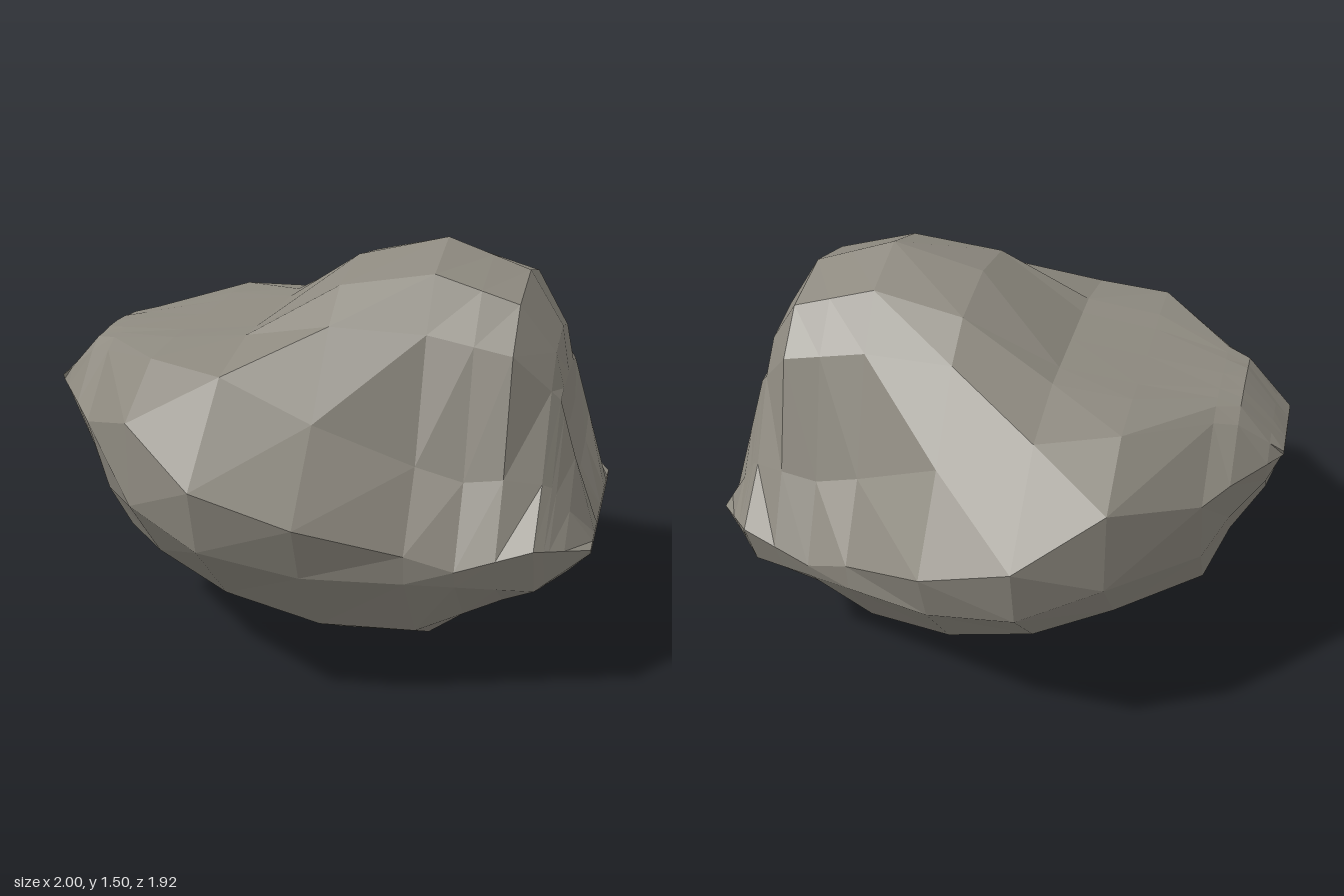
import * as THREE from 'three';

// Guide lines along x: [x, y] on the centre plane, [x, y, z] on the +z side
const CROWN = [[-1, 0.93], [-0.95, 0.99], [-0.84, 1.11], [-0.22, 1.19], [0.1, 1.42], [0.42, 1.5],
  [0.71, 1.4], [0.83, 1.21], [0.86, 1.04], [0.875, 0.87], [0.92, 0.7], [1, 0.55]];
const SHOULDER = [[-1, 0.93, 0.07], [-0.84, 1.1, 0.12], [-0.49, 1.16, 0.32], [-0.22, 1.19, 0.33],
  [0.1, 1.27, 0.43], [0.42, 1.25, 0.38], [0.71, 1.2, 0.39], [0.86, 1.02, 0.25], [1, 0.55, 0.25]];
const RIM = [[-1, 0.93, 0.16], [-0.84, 1.06, 0.24], [-0.76, 1.08, 0.28], [-0.49, 1, 0.79],
  [-0.22, 0.85, 0.96], [0.1, 0.73, 0.9], [0.42, 0.59, 0.7], [0.58, 0.53, 0.65],
  [0.83, 0.61, 0.6], [1, 0.54, 0.38]];
const BILGE = [[-1, 0.91, 0.15], [-0.84, 0.91, 0.39], [-0.65, 0.84, 0.63], [-0.49, 0.71, 0.79],
  [-0.22, 0.62, 0.9], [0.1, 0.53, 0.82], [0.83, 0.43, 0.52], [1, 0.52, 0.36]];
const KEEL = [[-1, 0.88], [-0.95, 0.72], [-0.84, 0.55], [-0.78, 0.35], [0.1, 0.02], [0.42, 0],
  [0.71, 0.23], [0.92, 0.37], [1, 0.52]];

const { lerp, clamp } = THREE.MathUtils;

// Point on a guide line at x
function guide(line, x) {
  const i = Math.max(1, line.findIndex((p) => p[0] >= x));
  const [x0, y0, z0 = 0] = line[i - 1];
  const [x1, y1, z1 = 0] = line[i];
  const t = (x - x0) / (x1 - x0);
  return new THREE.Vector3(x, lerp(y0, y1, t), lerp(z0, z1, t));
}

// Point between a and b, with separate fractions for height and depth
function between(a, b, ty, tz) {
  return new THREE.Vector3(a.x, lerp(a.y, b.y, ty), lerp(a.z, b.z, tz));
}

// Closed ring: crown, down the +z side, keel, back up the -z side
function makeRing(x) {
  const [crown, shoulder, rim, bilge, keel] =
    [CROWN, SHOULDER, RIM, BILGE, KEEL].map((line) => guide(line, x));
  // The flank bulges at the low end and is hollow beside the peak
  const flank = between(shoulder, rim, clamp(0.4 + x, 0.08, 0.62), 0.47);
  const underside = between(keel, bilge, 0.42, 0.68);
  // The belly is flat at the low end and pointed below the peak
  const belly = between(keel, underside, clamp(0.15 + 0.35 * x, 0, 0.4), 0.42);
  const half = [
    crown, between(crown, shoulder, 0.3, 0.65), shoulder, flank, rim,
    bilge, underside, belly, keel,
  ];
  const mirrored = half.slice(1, -1).reverse().map((p) => new THREE.Vector3(p.x, p.y, -p.z));
  return [...half, ...mirrored];
}

// Unshared corners give every facet its own flat normal
function facetedLoft(rings) {
  const points = [];
  const n = rings[0].length;
  for (let i = 0; i < rings.length - 1; i++) {
    for (let k = 0; k < n; k++) {
      const a = rings[i][k], b = rings[i][(k + 1) % n];
      const c = rings[i + 1][k], d = rings[i + 1][(k + 1) % n];
      // Diagonals mirror across the centre plane
      if (k < n / 2) points.push(a, b, c, b, d, c);
      else points.push(a, b, d, a, d, c);
    }
  }
  // End caps
  const first = rings[0], last = rings[rings.length - 1];
  for (let k = 1; k < n - 1; k++) {
    points.push(first[0], first[k + 1], first[k]);
    points.push(last[0], last[k], last[k + 1]);
  }
  const geometry = new THREE.BufferGeometry().setFromPoints(points);
  geometry.computeVertexNormals();
  return geometry;
}

export function createModel() {
  const stone = new THREE.MeshStandardMaterial({ color: 0x8e8a80 });
  stone.name = 'stone grey';

  // One ring wherever the crown or rim bends
  const stations = [...new Set([...CROWN, ...RIM].map((p) => p[0]))].sort((a, b) => a - b);
  const boulder = new THREE.Mesh(facetedLoft(stations.map(makeRing)), stone);
  boulder.name = 'boulder';

  const group = new THREE.Group();
  group.name = 'rock';
  group.add(boulder);
  return group;
}
